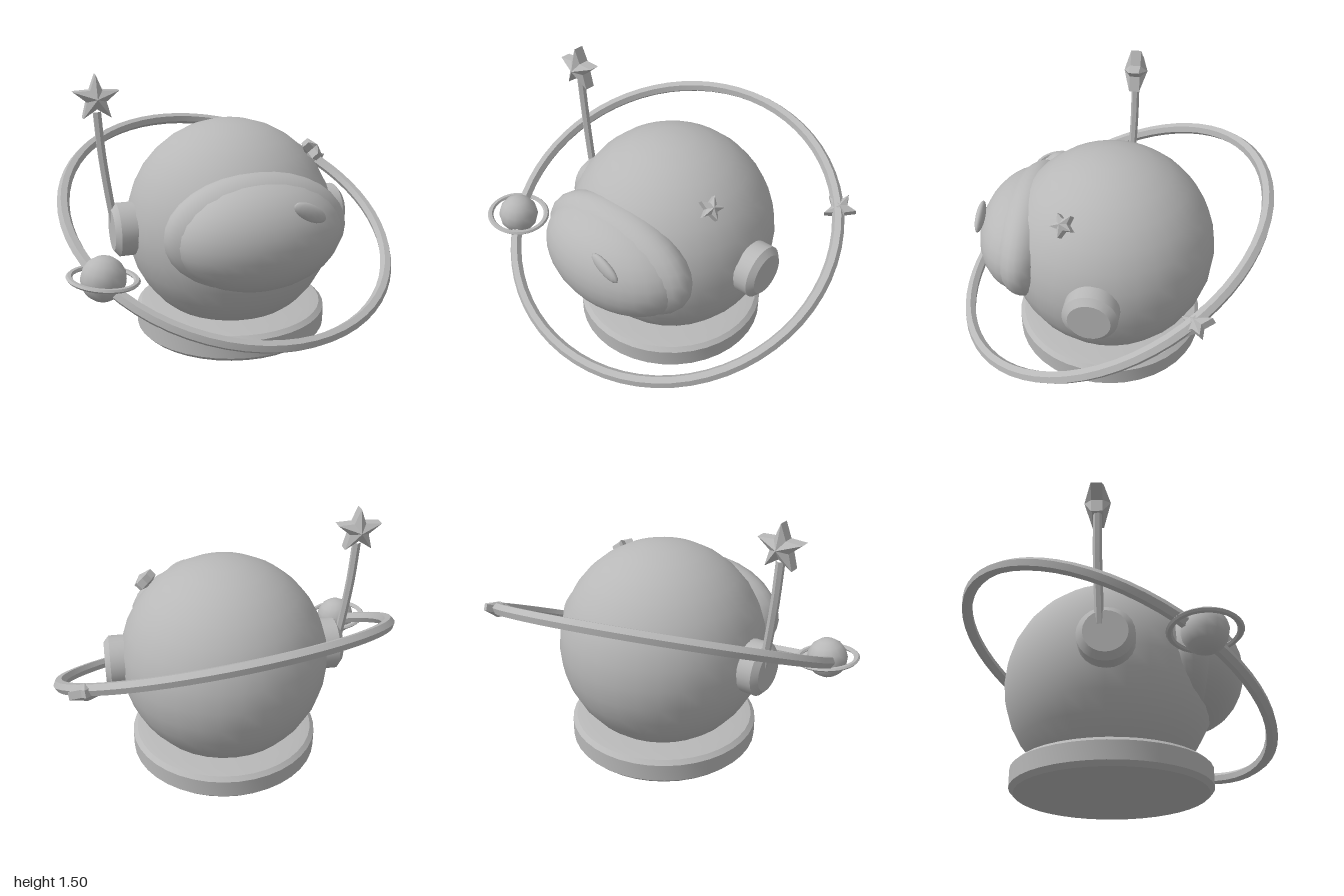
import * as THREE from 'three';
import { toCreasedNormals } from 'three/addons/utils/BufferGeometryUtils.js';

const V = (x, y, z) => new THREE.Vector3(x, y, z);

// Five-pointed star facing +z, with a raised centre on both sides and a thin straight rim
function starGeometry(outer, inner, apex, edge) {
  const ring = [];
  for (let i = 0; i < 10; i++) {
    const a = Math.PI / 2 + (i * Math.PI) / 5;
    const r = i % 2 ? inner : outer;
    ring.push([Math.cos(a) * r, Math.sin(a) * r]);
  }
  const p = [];
  for (let i = 0; i < 10; i++) {
    const [ax, ay] = ring[i];
    const [bx, by] = ring[(i + 1) % 10];
    p.push(0, 0, apex, ax, ay, edge, bx, by, edge);
    p.push(0, 0, -apex, bx, by, -edge, ax, ay, -edge);
    p.push(ax, ay, edge, ax, ay, -edge, bx, by, -edge);
    p.push(ax, ay, edge, bx, by, -edge, bx, by, edge);
  }
  const g = new THREE.BufferGeometry();
  g.setAttribute('position', new THREE.Float32BufferAttribute(p, 3));
  g.computeVertexNormals();
  return g;
}

// Solid of revolution with crisp bevels
function turned(points, segments) {
  const profile = points.map(([r, y]) => new THREE.Vector2(r, y));
  return toCreasedNormals(new THREE.LatheGeometry(profile, segments), 0.5);
}

export function createModel() {
  const model = new THREE.Group();
  model.name = 'spaceHelmet';
  const grey = new THREE.MeshStandardMaterial({ color: 0xb8b8b8 });
  grey.name = 'plain grey';

  function add(name, geometry, position, parent = model) {
    const mesh = new THREE.Mesh(geometry, grey);
    mesh.name = name;
    mesh.position.copy(position);
    parent.add(mesh);
    return mesh;
  }
  function ellipsoid(name, position, rx, ry, rz, ws = 32, hs = 16) {
    const g = new THREE.SphereGeometry(1, ws, hs);
    g.scale(rx, ry, rz);
    return add(name, g, position);
  }

  // Helmet shell and collar
  ellipsoid('helmetShell', V(0.01, 0.625, -0.01), 0.6, 0.6, 0.6);
  add('collar', turned([[0, 0], [0.53, 0], [0.555, 0.025], [0.555, 0.125],
    [0.53, 0.147], [0.47, 0.157], [0, 0.157]], 40), V(0.01, 0, 0));

  // Visor frame, bulging visor and its highlight
  ellipsoid('visorFrame', V(0.01, 0.7, 0.44), 0.507, 0.322, 0.2);
  ellipsoid('visor', V(0.01, 0.69, 0.45), 0.467, 0.305, 0.3);
  const highlight = ellipsoid('visorHighlight', V(0.19, 0.865, 0.707), 0.098, 0.043, 0.025, 16, 10);
  highlight.rotation.z = -0.5;

  // Ear pods, mirrored
  const pod = turned([[0, 0], [0.15, 0], [0.15, 0.17], [0.115, 0.2], [0, 0.2]], 24);
  for (const side of [1, -1]) {
    const mesh = add(side > 0 ? 'leftEarPod' : 'rightEarPod', pod, V(0.007 + side * 0.49, 0.64, 0));
    mesh.rotation.z = -side * Math.PI / 2;
  }

  // Bent antenna with a star on top
  const mast = new THREE.CatmullRomCurve3([V(-0.665, 0.68, -0.03), V(-0.692, 0.88, -0.035),
    V(-0.714, 1.08, -0.04), V(-0.728, 1.3, -0.04)]);
  add('antennaMast', toCreasedNormals(new THREE.TubeGeometry(mast, 8, 0.024, 6), 0.6), V(0, 0, 0));
  add('antennaStar', starGeometry(0.128, 0.055, 0.07, 0.03), V(-0.73, 1.372, -0.04));

  // Tilted orbit band around the helmet
  const normal = V(0.13, 1, 0.49).normalize();
  const tilt = new THREE.Quaternion().setFromUnitVectors(V(0, 0, 1), normal);
  const orbit = add('orbitRing', toCreasedNormals(new THREE.TorusGeometry(0.957, 0.034, 6, 64), 0.6),
    V(0.01, 0.657, 0));
  orbit.quaternion.copy(tilt);

  // Star riding on the orbit
  const orbitStar = add('orbitStar', starGeometry(0.092, 0.042, 0.046, 0.02), V(0.79, 0.815, -0.55));
  orbitStar.quaternion.copy(tilt);
  orbitStar.rotateZ(-0.1);

  // Small star standing on the shell
  const shellStar = add('shellStar', starGeometry(0.068, 0.032, 0.045, 0.022), V(0.435, 1.055, 0.175));
  shellStar.quaternion.setFromUnitVectors(V(0, 0, 1), V(0.425, 0.43, 0.185).normalize());

  // Ringed planet on the orbit
  const planet = new THREE.Group();
  planet.name = 'planet';
  planet.position.set(-0.815, 0.555, 0.475);
  planet.rotation.z = -0.13;
  model.add(planet);
  add('planetBall', new THREE.SphereGeometry(0.117, 14, 8), V(0, 0, 0), planet);
  const band = new THREE.TorusGeometry(0.168, 0.017, 6, 32);
  band.rotateX(Math.PI / 2);
  band.scale(1, 0.7, 1);
  add('planetRing', toCreasedNormals(band, 0.6), V(0, 0, 0), planet);

  return model;
}
